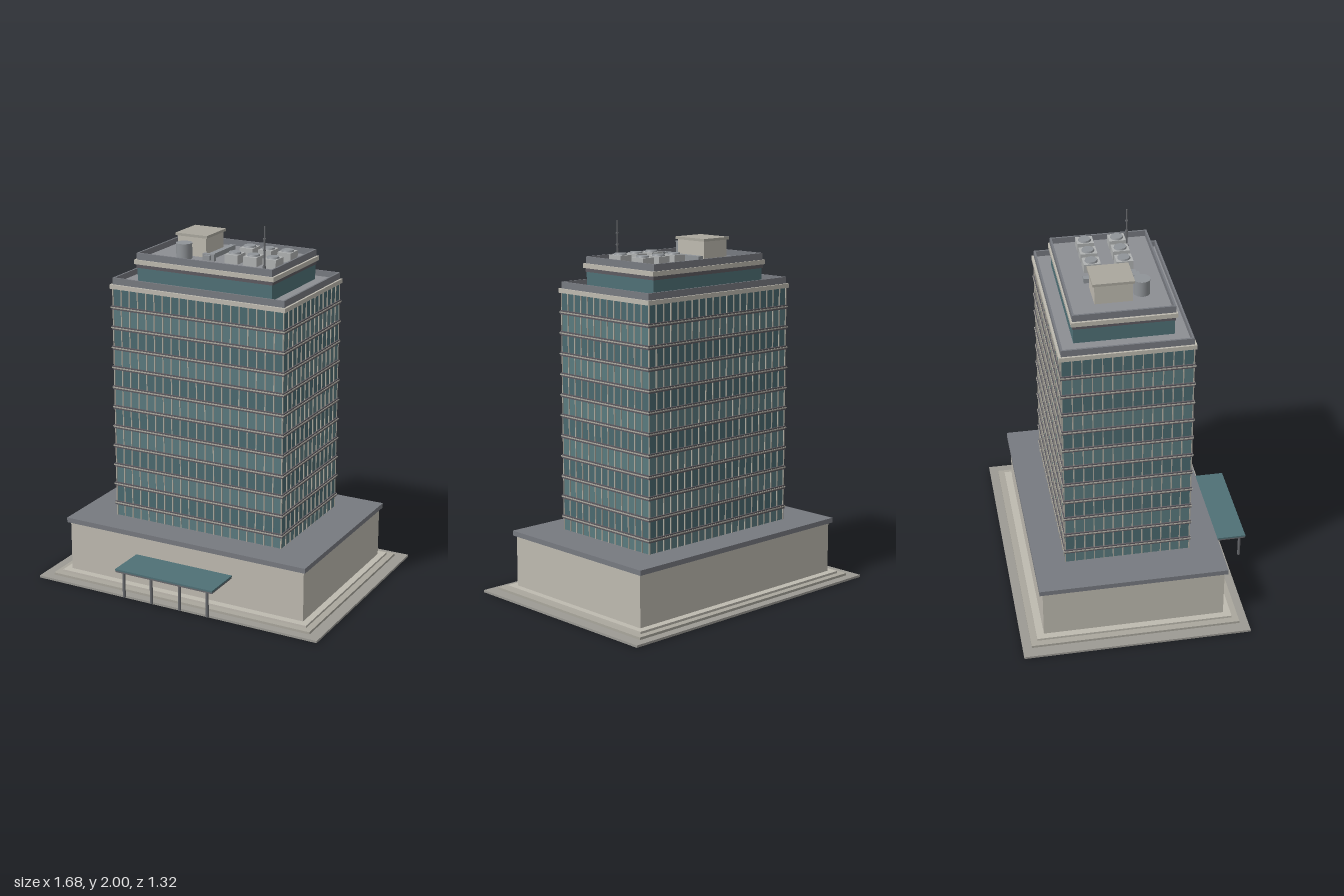
import * as THREE from 'three';

const mat = (color) => new THREE.MeshStandardMaterial({ color });
const stone = mat(0xbebab0), paving = mat(0x9c9a94), concrete = mat(0xaaa79d);
const roofGrey = mat(0x777a80), roofLight = mat(0x8c8e93), dark = mat(0x5c5a60);
const glassDark = mat(0x4a696f), glassLight = mat(0x5a7a7e), teal = mat(0x4f7076);
const metal = mat(0x909498), lightMetal = mat(0xb0b2b2), post = mat(0x66686c);
const CZ = -0.046; // depth centre of the building

export function createModel() {
  const model = new THREE.Group();

  const add = (parent, name, geometry, material, x, y, z) => {
    const mesh = new THREE.Mesh(geometry, material);
    mesh.name = name;
    mesh.position.set(x, y, z);
    parent.add(mesh);
    return mesh;
  };
  // box from y0 to y1, given its full width and depth
  const box = (parent, name, material, w, d, y0, y1, x = 0, z = CZ) =>
    add(parent, name, new THREE.BoxGeometry(w, y1 - y0, d), material, x, (y0 + y1) / 2, z);
  const cyl = (parent, name, material, rTop, rBottom, y0, y1, x, z, sides = 20) =>
    add(parent, name, new THREE.CylinderGeometry(rTop, rBottom, y1 - y0, sides), material, x, (y0 + y1) / 2, z);
  const section = (name) => {
    const group = new THREE.Group();
    group.name = name;
    model.add(group);
    return group;
  };
  // four thin walls round a flat roof
  const parapet = (parent, material, hx, hz, y0, y1, t = 0.01) => {
    for (const s of [-1, 1]) {
      box(parent, 'parapetLong', material, 2 * hx, t, y0, y1, 0, CZ + s * (hz - t / 2));
      box(parent, 'parapetShort', material, t, 2 * (hz - t), y0, y1, s * (hx - t / 2));
    }
  };

  // stepped plinth and podium
  const podium = section('podium');
  box(podium, 'pavement', paving, 1.684, 1.222, 0, 0.012);
  box(podium, 'lowerStep', concrete, 1.556, 1.126, 0.012, 0.025);
  box(podium, 'upperStep', stone, 1.484, 1.056, 0.025, 0.037);
  box(podium, 'podiumWalls', stone, 1.412, 0.976, 0.037, 0.315);
  box(podium, 'podiumRoof', roofGrey, 1.44, 1.01, 0.315, 0.342);

  // entrance canopy on slim columns
  const canopy = section('entranceCanopy');
  box(canopy, 'canopyRoof', teal, 0.582, 0.22, 0.197, 0.206, 0, 0.55);
  box(canopy, 'canopyFrame', post, 0.578, 0.216, 0.188, 0.197, 0, 0.55);
  for (const x of [-0.252, -0.085, 0.085, 0.25])
    cyl(canopy, 'canopyColumn', post, 0.008, 0.008, 0.042, 0.19, x, 0.636, 12);

  // tower floors: alternating glass with a spandrel and a thin ledge above
  const tower = section('tower');
  const HX = 0.5, HZ = 0.333, Y0 = 0.305, FLOOR = 0.1105, FLOORS = 12;
  const top = Y0 + FLOOR * FLOORS;
  for (let i = 0; i < FLOORS; i++) {
    const y = Y0 + i * FLOOR, next = y + FLOOR;
    box(tower, 'floorGlass', i % 2 ? glassDark : glassLight, 2 * HX, 2 * HZ, y, next);
    if (i === FLOORS - 1) continue;
    box(tower, 'spandrel', dark, 2 * HX + 0.016, 2 * HZ + 0.016, next - 0.012, next + 0.01);
    box(tower, 'ledge', concrete, 2 * HX + 0.022, 2 * HZ + 0.022, next - 0.003, next + 0.003);
  }

  // vertical mullions on all four faces
  const mullion = (x, z) => box(tower, 'mullion', concrete, 0.006, 0.006, Y0, top, x, z);
  const BAYS_X = 20, BAYS_Z = 13;
  for (const s of [-1, 1]) {
    for (let i = 0; i <= BAYS_X; i++)
      mullion(-HX + (2 * HX * i) / BAYS_X, CZ + s * (HZ + 0.002));
    for (let i = 1; i < BAYS_Z; i++)
      mullion(s * (HX + 0.002), CZ - HZ + (2 * HZ * i) / BAYS_Z);
  }

  // tower cornice, roof and parapet
  box(tower, 'towerCornice', stone, 1.026, 0.692, 1.622, 1.645);
  box(tower, 'towerRoof', roofLight, 0.99, 0.656, 1.645, 1.649);
  parapet(tower, roofGrey, 0.502, 0.334, 1.645, 1.68);

  // set-back crown
  const crown = section('crown');
  box(crown, 'crownGlass', teal, 0.788, 0.512, 1.645, 1.735);
  box(crown, 'crownBand', dark, 0.796, 0.52, 1.73, 1.75);
  box(crown, 'crownCornice', stone, 0.816, 0.536, 1.75, 1.774);
  box(crown, 'crownRoof', roofLight, 0.78, 0.504, 1.774, 1.778);
  parapet(crown, roofGrey, 0.396, 0.26, 1.774, 1.81);

  // rooftop plant
  const plant = section('rooftopPlant');
  box(plant, 'liftHouse', stone, 0.17, 0.194, 1.778, 1.882, -0.172, -0.076);
  box(plant, 'liftHouseCap', concrete, 0.188, 0.214, 1.882, 1.896, -0.172, -0.076);
  cyl(plant, 'waterTank', metal, 0.042, 0.042, 1.778, 1.855, -0.186, 0.08, 24);
  cyl(plant, 'waterTankLid', metal, 0.044, 0.044, 1.855, 1.861, -0.186, 0.08, 24);
  box(plant, 'duct', metal, 0.032, 0.29, 1.785, 1.81, -0.043, -0.05);
  box(plant, 'ductBranch', metal, 0.068, 0.022, 1.778, 1.815, -0.043, 0.068);
  for (const x of [0.092, 0.201, 0.312])
    for (const z of [-0.132, 0.038]) {
      box(plant, 'coolingUnit', lightMetal, 0.076, 0.088, 1.778, 1.826, x, z);
      cyl(plant, 'coolingFan', metal, 0.031, 0.034, 1.826, 1.835, x, z, 16);
    }

  // antenna mast
  const mast = section('antenna');
  cyl(mast, 'mastFoot', post, 0.009, 0.009, 1.778, 1.79, 0.288, 0.088, 10);
  cyl(mast, 'mast', post, 0.0035, 0.006, 1.778, 2, 0.288, 0.088, 8);
  for (const y of [1.87, 1.93])
    cyl(mast, 'mastCollar', post, 0.008, 0.008, y, y + 0.007, 0.288, 0.088, 8);

  return model;
}
